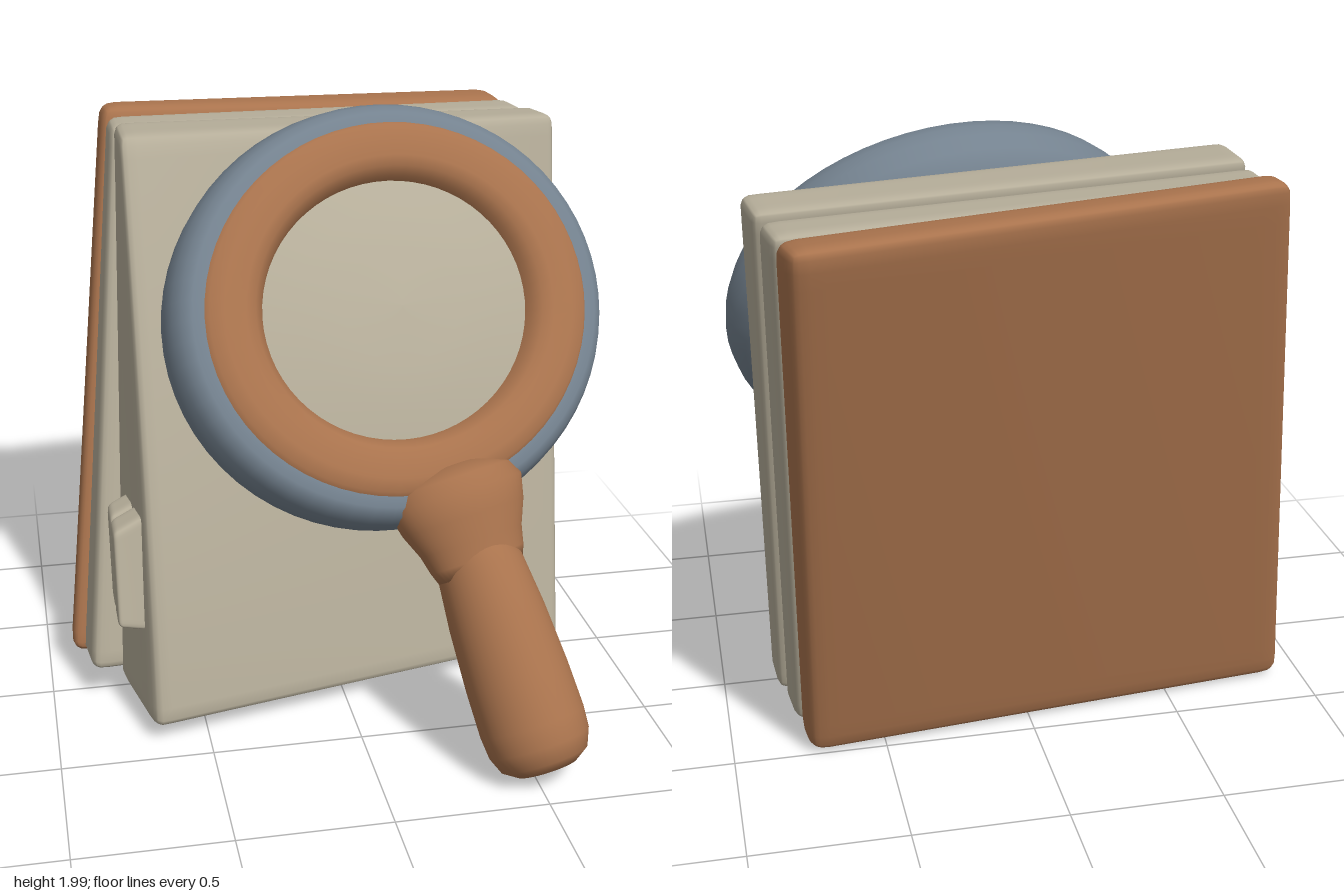
import * as THREE from 'three';
import { mergeVertices } from 'three/addons/utils/BufferGeometryUtils.js';

const material = (name, color) => {
  const m = new THREE.MeshStandardMaterial({ color });
  m.name = name;
  return m;
};

function addMesh(parent, name, geometry, mat) {
  const mesh = new THREE.Mesh(geometry, mat);
  mesh.name = name;
  parent.add(mesh);
  return mesh;
}

// Rounded slab stretched between a back and a front quad.
// Corners of each quad: bottom left, bottom right, top left, top right.
function slabGeometry(back, front, size, radius, bulge = 0) {
  let geo = new THREE.BoxGeometry(2, 2, 2, 24, 24, 10);
  geo.deleteAttribute('normal');
  geo.deleteAttribute('uv');
  geo = mergeVertices(geo);
  const quads = [back, front].map((q) => q.map((c) => new THREE.Vector3(...c)));
  const half = new THREE.Vector3(...size).multiplyScalar(0.5);
  const limit = half.clone().subScalar(radius);
  const pos = geo.attributes.position;
  const p = new THREE.Vector3();
  const inner = new THREE.Vector3();
  const onQuad = (q, a, b) => {
    const low = q[0].clone().lerp(q[1], a);
    const high = q[2].clone().lerp(q[3], a);
    return low.lerp(high, b);
  };
  for (let i = 0; i < pos.count; i++) {
    p.fromBufferAttribute(pos, i);
    // crowd the rows towards the edges, then round the edges
    p.set(...p.toArray().map((c) => Math.sin((c * Math.PI) / 2))).multiply(half);
    inner.copy(p).clamp(limit.clone().negate(), limit);
    p.sub(inner);
    if (p.lengthSq() > 0) p.setLength(Math.min(radius, p.length()));
    p.add(inner).divide(half);
    const [a, b, c] = p.toArray().map((t) => (t + 1) / 2);
    const point = onQuad(quads[0], a, b).lerp(onQuad(quads[1], a, b), c);
    point.z += bulge * 4 * b * (1 - b) * (1 - a) * c;
    pos.setXYZ(i, point.x, point.y, point.z);
  }
  geo.computeVertexNormals();
  return geo;
}

const lathe = (points, segments = 64) =>
  new THREE.LatheGeometry(points.map(([r, y]) => new THREE.Vector2(r, y)), segments);

export function createModel() {
  const model = new THREE.Group();
  model.name = 'bookAndMagnifier';
  const tan = material('leather brown', 0xa9734d);
  const paper = material('paper beige', 0xb5ad99);
  const steel = material('steel blue', 0x74828f);

  // Leaning book: back cover and two fanned page blocks
  const book = new THREE.Group();
  book.name = 'book';
  model.add(book);
  addMesh(book, 'backCover', slabGeometry(
    [[-0.92, 0, -0.34], [0.75, 0, -0.515], [-0.7, 1.92, -0.77], [0.79, 1.87, -1.0]],
    [[-0.92, 0.01, -0.23], [0.77, 0.01, -0.34], [-0.69, 1.92, -0.64], [0.82, 1.86, -0.81]],
    [1.55, 1.9, 0.16], 0.05), tan);
  addMesh(book, 'rearPages', slabGeometry(
    [[-0.88, 0.02, -0.25], [0.78, 0.02, -0.34], [-0.68, 1.89, -0.66], [0.82, 1.86, -0.82]],
    [[-0.86, 0.03, -0.04], [0.8, 0.03, -0.16], [-0.68, 1.89, -0.46], [0.845, 1.86, -0.63]],
    [1.55, 1.9, 0.18], 0.04), paper);
  addMesh(book, 'frontPages', slabGeometry(
    [[-0.77, 0.04, -0.01], [0.82, 0.035, -0.15], [-0.67, 1.91, -0.46], [0.855, 1.87, -0.61]],
    [[-0.68, 0.05, 0.43], [0.83, 0.035, 0.06], [-0.67, 1.91, -0.22], [0.88, 1.88, -0.41]],
    [1.55, 1.9, 0.2], 0.035, 0.07), paper);

  // Index tabs sticking out on the page edge
  for (const z of [0.05, 0.18]) {
    const quad = (d) => [
      [-0.78, 0.38, z + d], [-0.66, 0.34, z + d - 0.03],
      [-0.78, 0.69, z + d - 0.08], [-0.66, 0.74, z + d - 0.11]];
    addMesh(book, 'indexTab', slabGeometry(quad(0), quad(0.12), [0.14, 0.34, 0.11], 0.02), paper);
  }

  // Magnifier, built facing +z and then tilted to rest on the book
  const magnifier = new THREE.Group();
  magnifier.name = 'magnifier';
  const normal = new THREE.Vector3(0.17, 0.5, 0.85).normalize();
  const side = new THREE.Vector3(0, 1, 0).cross(normal).normalize();
  const up = normal.clone().cross(side);
  magnifier.setRotationFromMatrix(new THREE.Matrix4().makeBasis(side, up, normal));
  magnifier.position.set(0.185, 1.42, 0.225);
  model.add(magnifier);

  // Head: slightly oval casing, front rim and lens
  const head = [
    ['casing', steel, [[0, -0.31], [0.4, -0.31], [0.58, -0.3], [0.67, -0.28], [0.725, -0.24],
      [0.752, -0.18], [0.757, -0.12], [0.745, -0.07], [0.725, -0.03], [0.695, -0.008], [0.655, -0.005]]],
    ['rim', tan, [[0.665, -0.015], [0.645, 0.01], [0.6, 0.02], [0.53, 0.02], [0.495, 0.008],
      [0.468, -0.02], [0.453, -0.06]]],
    ['lens', paper, [[0.47, -0.05], [0.35, -0.025], [0.2, -0.005], [0, 0.002]]],
  ];
  for (const [name, mat, profile] of head) {
    const mesh = addMesh(magnifier, name, lathe(profile).rotateX(Math.PI / 2), mat);
    mesh.rotation.z = 0.3;
    mesh.scale.set(1.025, 0.925, 1);
  }

  // Grip: flattened neck over the casing and a rounded handle
  const grip = new THREE.Group();
  grip.name = 'grip';
  grip.rotation.z = Math.PI + 0.135;
  grip.position.z = -0.075;
  magnifier.add(grip);
  const neck = addMesh(grip, 'neck', lathe([[0, 0.52], [0.14, 0.54], [0.21, 0.58], [0.235, 0.63],
    [0.215, 0.71], [0.18, 0.79], [0.165, 0.85], [0.15, 0.89], [0, 0.9]], 40), tan);
  neck.scale.z = 0.72;
  addMesh(grip, 'handle', lathe([[0, 0.76], [0.08, 0.77], [0.115, 0.8], [0.142, 0.87], [0.16, 1.05],
    [0.171, 1.25], [0.174, 1.4], [0.168, 1.47], [0.145, 1.525], [0.1, 1.555], [0, 1.565]], 40), tan);

  return model;
}
